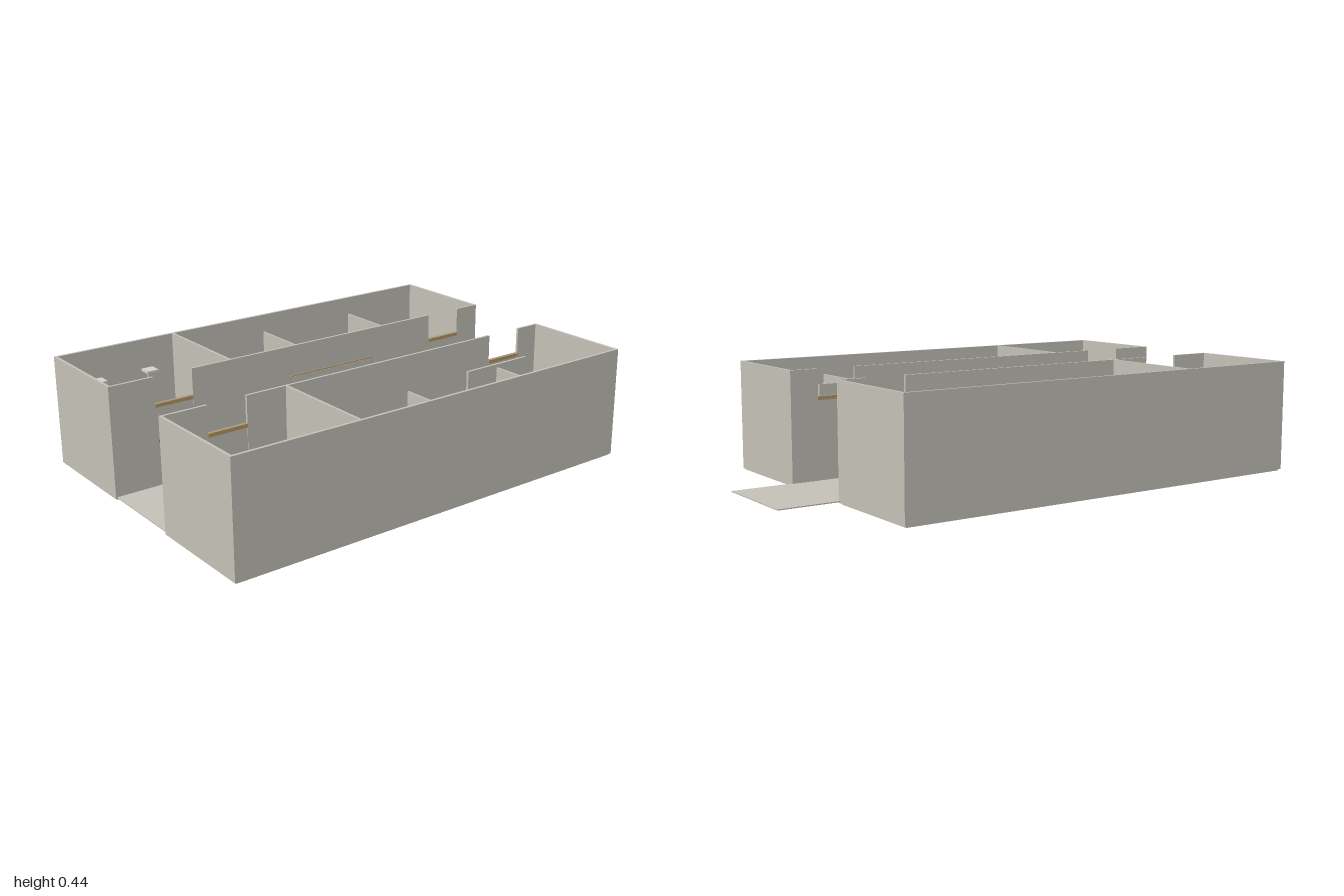
import * as THREE from 'three';

const mat = (name, color) => {
  const m = new THREE.MeshStandardMaterial({ color });
  m.name = name;
  return m;
};

export function createModel() {
  const stone = mat('warm grey', 0xc4c0b7);
  const wood = mat('wood', 0xb0986c);
  const white = mat('porcelain', 0xd2d1cd);
  const dark = mat('dark metal', 0x3c3d3c);
  const model = new THREE.Group();
  model.name = 'washroomBlock';

  // Corridor floor with the entry ramp at the back
  const corridor = new THREE.Mesh(new THREE.BoxGeometry(0.38, 0.004, 1.995), stone);
  corridor.name = 'corridorFloor';
  corridor.position.set(0, 0.012, -0.0025);
  model.add(corridor);

  // One wing; s is the side (+1 left, -1 right)
  const buildWing = (s) => {
    const wing = new THREE.Group();
    wing.name = s > 0 ? 'leftWing' : 'rightWing';
    model.add(wing);

    const add = (name, geo, m, x, y, z) => {
      const mesh = new THREE.Mesh(geo, m);
      mesh.name = name;
      mesh.position.set(s * x, y, z);
      wing.add(mesh);
      return mesh;
    };
    // Box from its limits
    const box = (name, m, x0, x1, y0, y1, z0, z1) =>
      add(name, new THREE.BoxGeometry(x1 - x0, y1 - y0, z1 - z0), m,
        (x0 + x1) / 2, (y0 + y1) / 2, (z0 + z1) / 2);
    const rod = (name, m, r, h, x, y, z) =>
      add(name, new THREE.CylinderGeometry(r, r, h, 12), m, x, y, z);

    // Floor and full-height walls
    const top = 0.44;
    box('wingFloor', stone, 0.19, 0.62, 0, 0.006, -0.752, 0.992);
    box('outerWall', stone, 0.615, 0.626, 0.006, top, -0.76, 1);
    box('frontWall', stone, 0.191, 0.615, 0.006, top, 0.989, 1);
    box('backWall', stone, 0.191, 0.615, 0.006, top, -0.76, -0.749);
    box('crossWall', stone, 0.191, 0.615, 0.006, top, 0.486, 0.496);
    for (const [z0, z1] of [[-0.76, -0.65], [-0.49, 0.66], [0.82, 1]])
      box('innerWall', stone, 0.181, 0.191, 0.006, top, z0, z1);

    // Doors with wooden head rails and handles
    for (const [z0, z1, hz] of [[-0.65, -0.49, -0.505], [0.66, 0.82, 0.805]]) {
      box('door', stone, 0.183, 0.189, 0.014, 0.322, z0, z1);
      box('doorHead', wood, 0.178, 0.193, 0.322, 0.336, z0, z1);
      box('doorHandle', dark, 0.178, 0.194, 0.185, 0.2, hz - 0.004, hz + 0.004);
    }

    // Stall partitions and privacy screen
    for (const z of [-0.395, 0.055])
      box('stallPartition', stone, 0.34, 0.615, 0.006, 0.365, z - 0.004, z + 0.004);
    box('privacyScreen', stone, 0.301, 0.311, 0.006, 0.365, -0.58, -0.27);

    // Toilets
    const bowlProfile = [[0, 0], [0.026, 0], [0.024, 0.025], [0.036, 0.055], [0.044, 0.068],
      [0.044, 0.075], [0.036, 0.077], [0.02, 0.073], [0, 0.073]].map(([x, y]) => new THREE.Vector2(x, y));
    for (const z of [-0.235, 0.215]) {
      const bowl = add('toiletBowl', new THREE.LatheGeometry(bowlProfile, 28), white, 0.418, 0.006, z);
      bowl.scale.x = 1.08;
      rod('toiletDrain', dark, 0.02, 0.004, 0.425, 0.08, z);
      box('toiletTank', stone, 0.452, 0.497, 0.04, 0.125, z - 0.036, z + 0.036);
    }

    // Shower trays, head plates and pipes
    for (const [z0, z1, hz] of [[0.542, 0.712, 0.623], [0.765, 0.931, 0.846]]) {
      box('showerTray', stone, 0.37, 0.555, 0.006, 0.016, z0, z1);
      box('showerHead', white, 0.553, 0.604, 0.315, 0.325, hz - 0.025, hz + 0.025);
      rod('showerPipe', stone, 0.005, 0.305, 0.597, 0.162, hz);
    }
    box('showerPartition', stone, 0.345, 0.575, 0.006, 0.27, 0.732, 0.738);
    box('towelRail', dark, 0.586, 0.591, 0.19, 0.2, 0.69, 0.775);

    // Vanity with basins, taps and framed mirror
    box('vanityCabinet', wood, 0.125, 0.181, 0.009, 0.121, -0.178, 0.213);
    box('vanityTop', stone, 0.121, 0.181, 0.121, 0.127, -0.18, 0.215);
    const basinProfile = [[0.03, 0], [0.043, 0.009], [0.045, 0.013], [0.041, 0.013],
      [0.03, 0.006], [0, 0.004]].map(([x, y]) => new THREE.Vector2(x, y));
    for (const z of [-0.085, 0.09]) {
      const basin = add('basin', new THREE.LatheGeometry(basinProfile, 28), white, 0.15, 0.127, z);
      basin.scale.x = 0.62;
      basin.material = white;
      rod('tap', dark, 0.0035, 0.05, 0.172, 0.152, z);
      box('tapSpout', dark, 0.152, 0.172, 0.158, 0.164, z - 0.003, z + 0.003);
      for (const d of [-0.02, 0.02]) rod('tapKnob', white, 0.004, 0.03, 0.17, 0.142, z + d);
    }
    box('mirrorFrame', wood, 0.176, 0.181, 0.155, 0.32, -0.18, 0.215);
    box('mirrorPane', stone, 0.1745, 0.177, 0.16, 0.315, -0.175, 0.21);
  };

  buildWing(1);
  buildWing(-1);
  return model;
}
